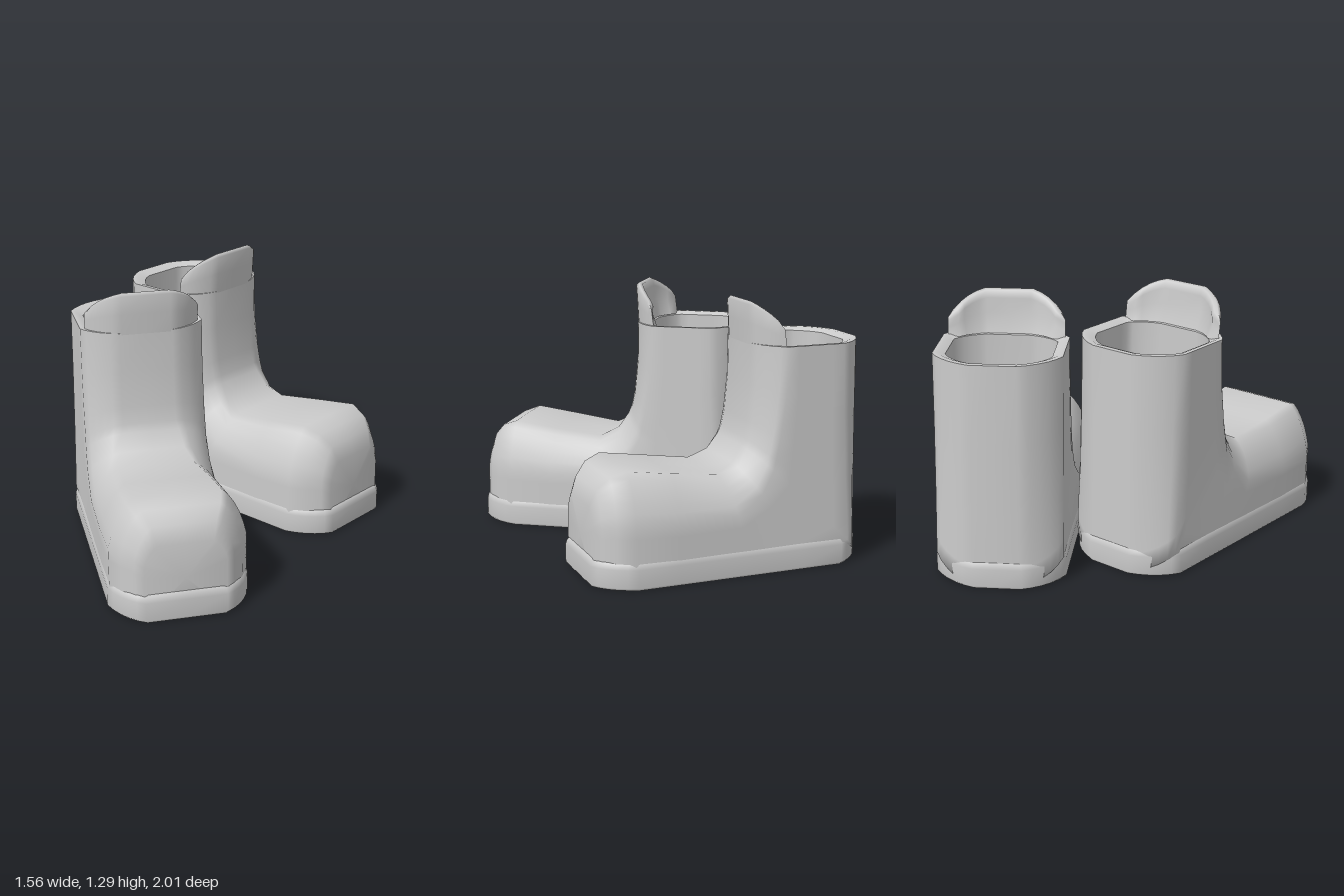
import * as THREE from 'three';

const V = (x, y, z) => new THREE.Vector3(x, y, z);

// Closed cross-section running from point b to point t (both [z, y]), half width w (w2 at t),
// with softened chamfers bot/top = [across, along]
function section(b, t, w, bot, top, w2 = w) {
  const dz = t[0] - b[0], dy = t[1] - b[1], len = Math.hypot(dz, dy);
  const half = [];
  const width = (d) => w + (w2 - w) * d / len;
  const N = 5, SIDE = 5, ROUND = 0.5;
  const ease = (s) => s + (Math.sin(s * Math.PI / 2) - s) * ROUND;
  half.push([0, 0]);
  for (let i = 0; i <= N; i++) {
    const d = bot[1] * (1 - ease(1 - i / N));
    half.push([width(d) - bot[0] * (1 - ease(i / N)), d]);
  }
  for (let i = 1; i < SIDE; i++) {
    const d = bot[1] + (len - top[1] - bot[1]) * i / SIDE;
    half.push([width(d), d]);
  }
  for (let i = 0; i <= N; i++) {
    const d = len - top[1] * (1 - ease(i / N));
    half.push([width(d) - top[0] * (1 - ease(1 - i / N)), d]);
  }
  half.push([0, len]);
  const mirrored = half.slice(1, -1).reverse().map(([u, d]) => [-u, d]);
  return [...half, ...mirrored].map(([u, d]) => V(u, b[1] + dy * d / len, b[0] + dz * d / len));
}

// Skin through rings with equal point counts
function loft(rings, closed = true) {
  const n = rings[0].length, pos = [], index = [];
  rings.forEach((r) => r.forEach((p) => pos.push(p.x, p.y, p.z)));
  for (let i = 0; i < rings.length - 1; i++) {
    for (let j = 0; j < (closed ? n : n - 1); j++) {
      const k = (j + 1) % n;
      const a = i * n + j, b = i * n + k, c = a + n, d = b + n;
      index.push(a, c, b, b, c, d);
    }
  }
  const g = new THREE.BufferGeometry();
  g.setAttribute('position', new THREE.Float32BufferAttribute(pos, 3));
  g.setIndex(index);
  g.computeVertexNormals();
  return g;
}

const point = (ring, p) => ring.map(() => p.clone());

function createBoot(material) {
  const boot = new THREE.Group();
  const add = (name, geometry) => {
    const m = new THREE.Mesh(geometry, material);
    m.name = name;
    boot.add(m);
  };

  // Sole: chamfered footprint slab with a soft upper edge
  const foot = (y, inset) => section([-0.41 + inset, y], [1 - inset, y],
    0.306 - inset, [0.19, 0.16], [0.145, 0.19], 0.333 - inset);
  const base = foot(0, 0.008);
  add('soleBottom', loft([point(base, V(0, 0, 0.3)), base]));
  add('sole', loft([base, foot(0.012, 0), foot(0.1, 0), foot(0.125, 0.006), foot(0.14, 0.018), foot(0.145, 0.05)]));

  // Upper: sections sweep from the toe back, hinge over the heel, then climb the shaft
  const sq = [0.01, 0.01], heel = [0.19, 0.16], instep = [0.17, 0.12], back = -0.4;
  const outer = section([back, 1.09], [0.17, 1.09], 0.298, heel, instep);
  const sections = [
    section([0.985, 0.01], [0.985, 0.37], 0.19, sq, [0.06, 0.1]),
    section([0.955, 0.01], [0.955, 0.45], 0.228, sq, [0.08, 0.16]),
    section([0.9, 0.01], [0.9, 0.51], 0.28, sq, [0.1, 0.21]),
    section([0.82, 0.01], [0.82, 0.54], 0.322, sq, [0.12, 0.24]),
    section([0.6, 0.01], [0.6, 0.51], 0.32, sq, [0.12, 0.22]),
    section([0.2, 0.01], [0.36, 0.48], 0.312, sq, [0.13, 0.19]),
    section([-0.1, 0.01], [0.27, 0.525], 0.305, [0.06, 0.06], [0.15, 0.16]),
    section([back, 0.01], [0.22, 0.6], 0.301, heel, [0.16, 0.14]),
    section([back, 0.1], [0.205, 0.64], 0.3, heel, [0.17, 0.13]),
    section([back, 0.35], [0.188, 0.72], 0.299, heel, instep),
    section([back, 0.7], [0.172, 0.9], 0.298, heel, instep),
    outer,
  ];
  add('upper', loft([point(outer, V(0, 0.2, 0.985)), ...sections]));

  // Rim and hollow lining
  const lining = (y, s) => section([-0.11 - 0.222 * s, y], [-0.11 + 0.222 * s, y],
    0.245 * s, [0.14 * s, 0.13 * s], [0.14 * s, 0.09 * s]);
  const inner = lining(1.075, 1);
  add('rim', loft([outer, outer.map((p, i) => p.clone().lerp(inner[i], 0.4).setY(1.09)), inner]));
  add('lining', loft([inner, lining(0.5, 1), lining(0.38, 0.93), lining(0.31, 0.7),
    lining(0.285, 0.35), point(inner, V(0, 0.28, -0.11))]));

  // Tongue: raised front of the shaft with a rolled lip, thinning to an edge at each side
  const ids = outer.map((p, i) => i).filter((i) => outer[i].z > 0.049);
  const strip = (thickness, top) => ids.map((i, k) => {
    const o = outer[i], f = k === 0 || k === ids.length - 1 ? 0 : thickness;
    const p = o.clone().lerp(inner[i], f);
    const rise = 0.08 + 0.118 * Math.pow(Math.max(0, (o.z - 0.05) / 0.12), 0.8);
    return V(p.x * 0.93, 1.08 + (rise + 0.01) * top, p.z + 0.012 * top);
  });
  add('tongue', loft([strip(0, 0), strip(0, 0.5), strip(0, 0.93), strip(0.25, 1),
    strip(0.55, 0.97), strip(0.7, 0.8), strip(0.6, 0.45), strip(0.9, 0)], false));
  return boot;
}

export function createModel() {
  const model = new THREE.Group();
  model.name = 'pairOfBoots';
  const material = new THREE.MeshStandardMaterial({ color: 0xcccccc, side: THREE.DoubleSide });

  const rightBoot = createBoot(material);
  rightBoot.name = 'rightBoot';
  rightBoot.position.set(-0.457, 0, 0);

  const leftBoot = createBoot(material);
  leftBoot.name = 'leftBoot';
  leftBoot.position.set(0.028, 0, -0.586);
  leftBoot.rotation.y = 0.604;

  model.add(rightBoot, leftBoot);
  return model;
}
